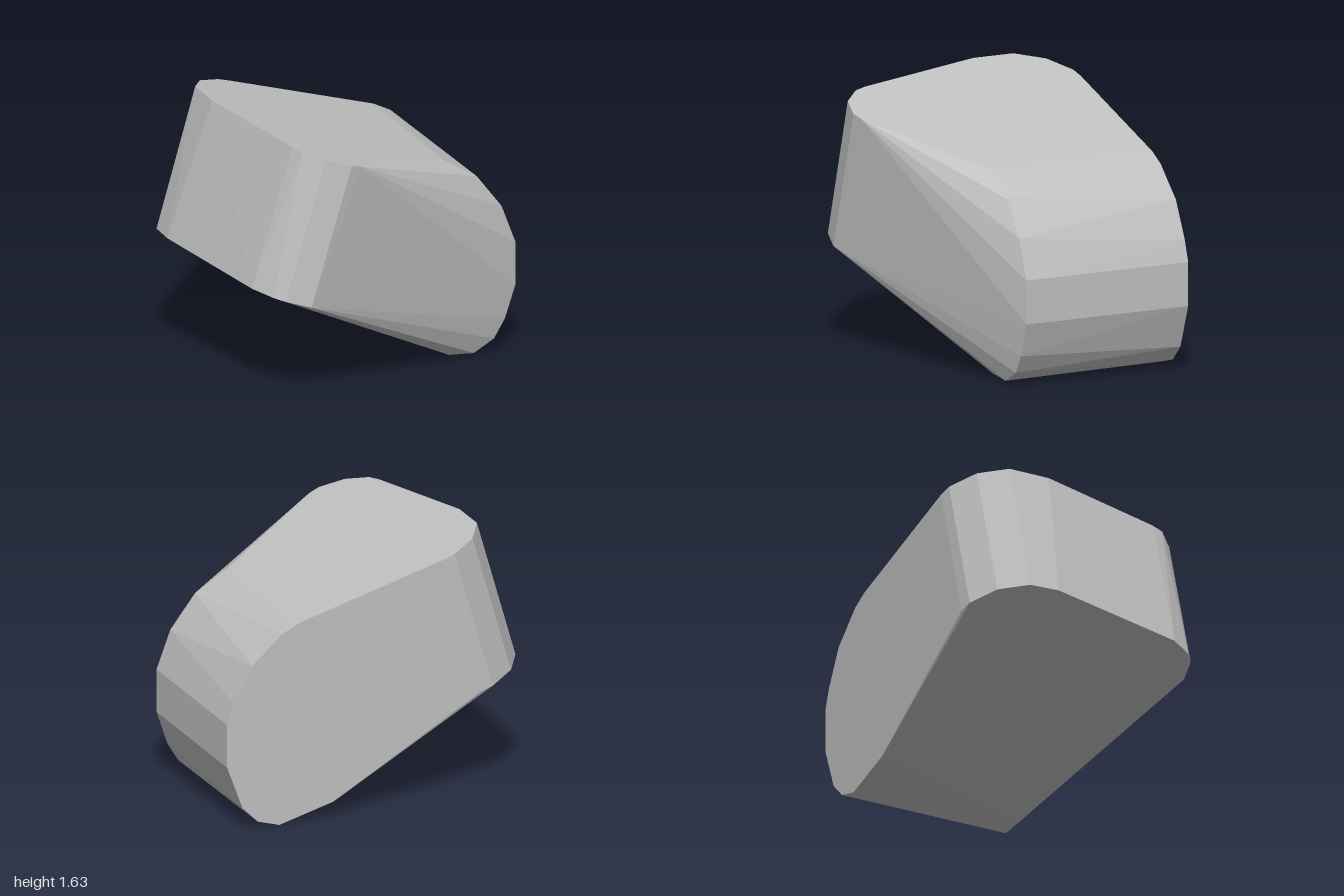
import * as THREE from 'three';
import { ConvexGeometry } from 'three/addons/geometries/ConvexGeometry.js';

export function createModel() {
  const group = new THREE.Group();
  const grey = new THREE.MeshStandardMaterial({ color: 0xc0c0c0 });
  grey.name = 'grey';
  const points = [];
  const add = (x, y, z) => points.push(new THREE.Vector3(x, y, z));

  // Tilted rounded column: both caps lie on planes sloping down towards +x
  const slopedCap = (outline, x0, y0) =>
    outline.forEach(([x, z]) => add(x, y0 - 0.291 * (x - x0), z));
  slopedCap([
    [-0.74, -0.25], [-0.74, -0.52], [-0.64, -0.69], [-0.48, -0.79], [-0.4, -0.8],
    [-0.56, 0.57], [-0.53, 0.65], [-0.42, 0.76], [-0.27, 0.8], [-0.2, 0.78],
  ], -0.74, 1.635);
  slopedCap([
    [-1, -0.33], [-0.99, -0.52], [-0.89, -0.69], [-0.73, -0.79], [-0.65, -0.8],
    [-0.82, 0.57], [-0.74, 0.71], [-0.68, 0.76], [-0.53, 0.8],
  ], -1, 0.77);

  // Rounded end: upright outlines at the front and back of the barrel
  const uprightOutline = (outline, z) => outline.forEach(([x, y]) => add(x, y, z));
  uprightOutline([
    [0.53, 1.265], [0.75, 1.13], [0.91, 0.92], [1, 0.68], [1, 0.41],
    [0.93, 0.2], [0.86, 0.085], [0.73, 0.01], [0.57, 0.02],
  ], 0.29);
  uprightOutline([
    [0.53, 1.265], [0.64, 1.21], [0.84, 1.03], [0.955, 0.81], [1, 0.68], [1, 0.41],
    [0.9, 0.14], [0.8, 0.04], [0.66, 0], [0.31, 0.1],
  ], -0.8);

  // One faceted solid stretched between the column and the rounded end
  const body = new THREE.Mesh(new ConvexGeometry(points), grey);
  body.name = 'facetedBlock';
  group.add(body);
  return group;
}
